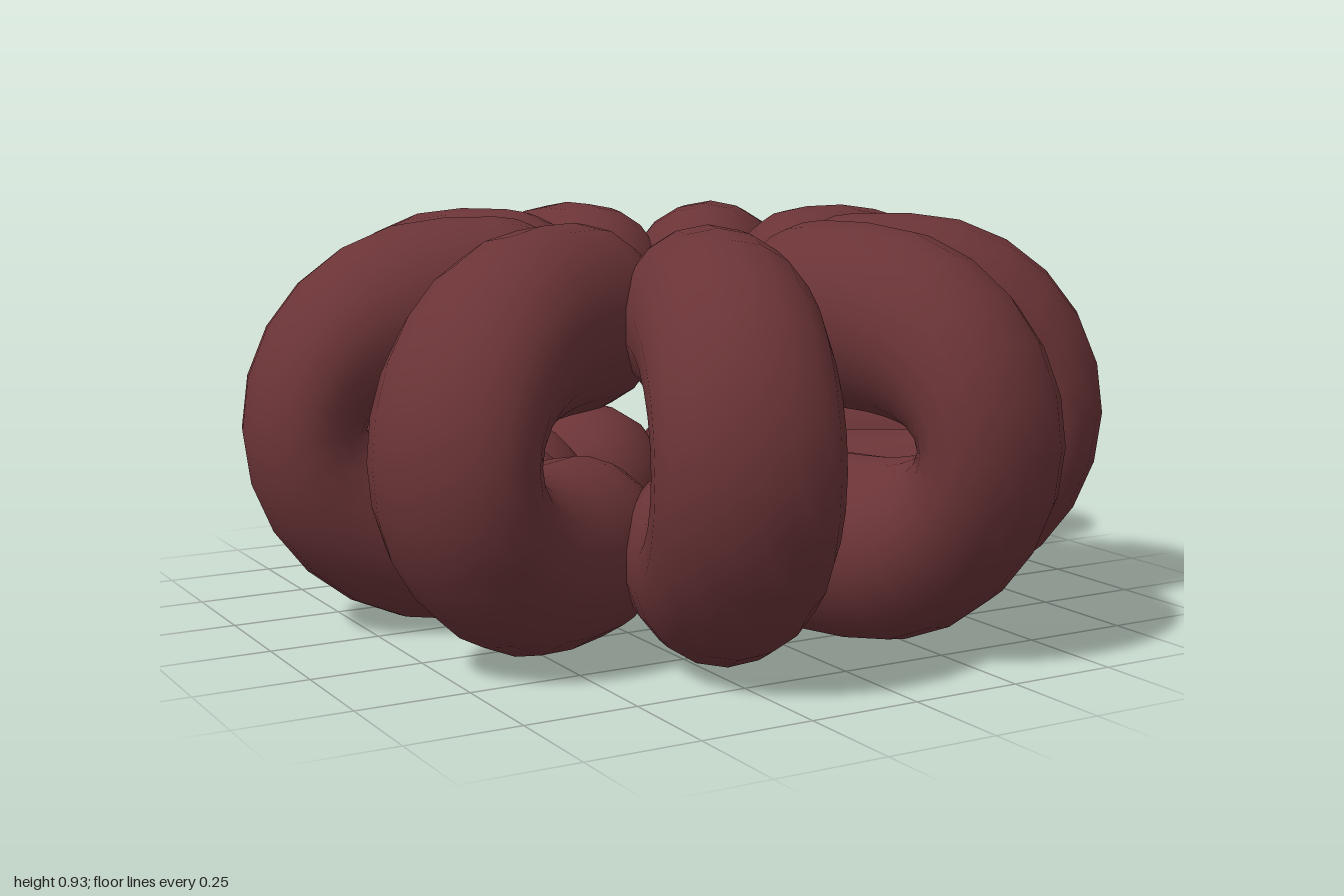
import * as THREE from 'three';

const MID = 0.4625;      // mid height and outer bend radius
const BEND_X = 0.55;     // radial position of the bend centre
const CAP_X = 0.43;      // radial position where the rounded ends start
const CAP_R = 0.2;
const HALF_WIDTH = 0.195;
const SLOT_X = 0.19, SLOT_Y = 0.05;   // slot enclosed by the fold
const SIDES = 18, BEND_STEPS = 12, CAP_STEPS = 6;

// Cross-sections of one folded roll: upper end, bend, lower end
function rollSections() {
  const sections = [];
  const add = (x, theta, scale) => {
    const c = Math.cos(theta), s = Math.sin(theta);
    const ox = x + MID * c, oy = MID * s;
    const ix = x + SLOT_X * c, iy = SLOT_Y * s;
    sections.push({
      x: (ox + ix) / 2, y: MID + (oy + iy) / 2,
      hx: (ox - ix) / 2 * scale, hy: (oy - iy) / 2 * scale,
      w: HALF_WIDTH * scale,
    });
  };
  const cap = (k, theta) => {
    const t = (k / CAP_STEPS) * Math.PI / 2;
    add(CAP_X - CAP_R * Math.sin(t), theta, Math.max(Math.cos(t), 0.001));
  };
  for (let k = CAP_STEPS; k >= 0; k--) cap(k, Math.PI / 2);
  for (let i = 0; i <= BEND_STEPS; i++) add(BEND_X, Math.PI / 2 - (i / BEND_STEPS) * Math.PI, 1);
  for (let k = 0; k <= CAP_STEPS; k++) cap(k, -Math.PI / 2);
  return sections;
}

// Skin the sections into one smooth closed surface
function rollGeometry() {
  const sections = rollSections();
  const positions = [], index = [];
  sections.forEach((s, i) => {
    for (let j = 0; j < SIDES; j++) {
      const p = (j / SIDES) * Math.PI * 2;
      positions.push(s.x + s.hx * Math.cos(p), s.y + s.hy * Math.cos(p), s.w * Math.sin(p));
      if (i === sections.length - 1) continue;
      const a = i * SIDES + j, b = i * SIDES + (j + 1) % SIDES;
      index.push(a, b, a + SIDES, b, b + SIDES, a + SIDES);
    }
  });
  const geometry = new THREE.BufferGeometry();
  geometry.setAttribute('position', new THREE.Float32BufferAttribute(positions, 3));
  geometry.setIndex(index);
  geometry.computeVertexNormals();
  return geometry;
}

export function createModel() {
  const model = new THREE.Group();
  model.name = 'ringOfRolls';
  const material = new THREE.MeshStandardMaterial({ color: 0x6b3437 });
  const geometry = rollGeometry();

  // Nine rolls set radially, one of them pointing straight back
  const count = 9;
  for (let i = 0; i < count; i++) {
    const roll = new THREE.Mesh(geometry, material);
    roll.name = `roll${i + 1}`;
    roll.rotation.y = ((i + 0.5) / count) * Math.PI * 2 - Math.PI / 2;
    roll.position.z = 0.02;
    model.add(roll);
  }
  return model;
}
